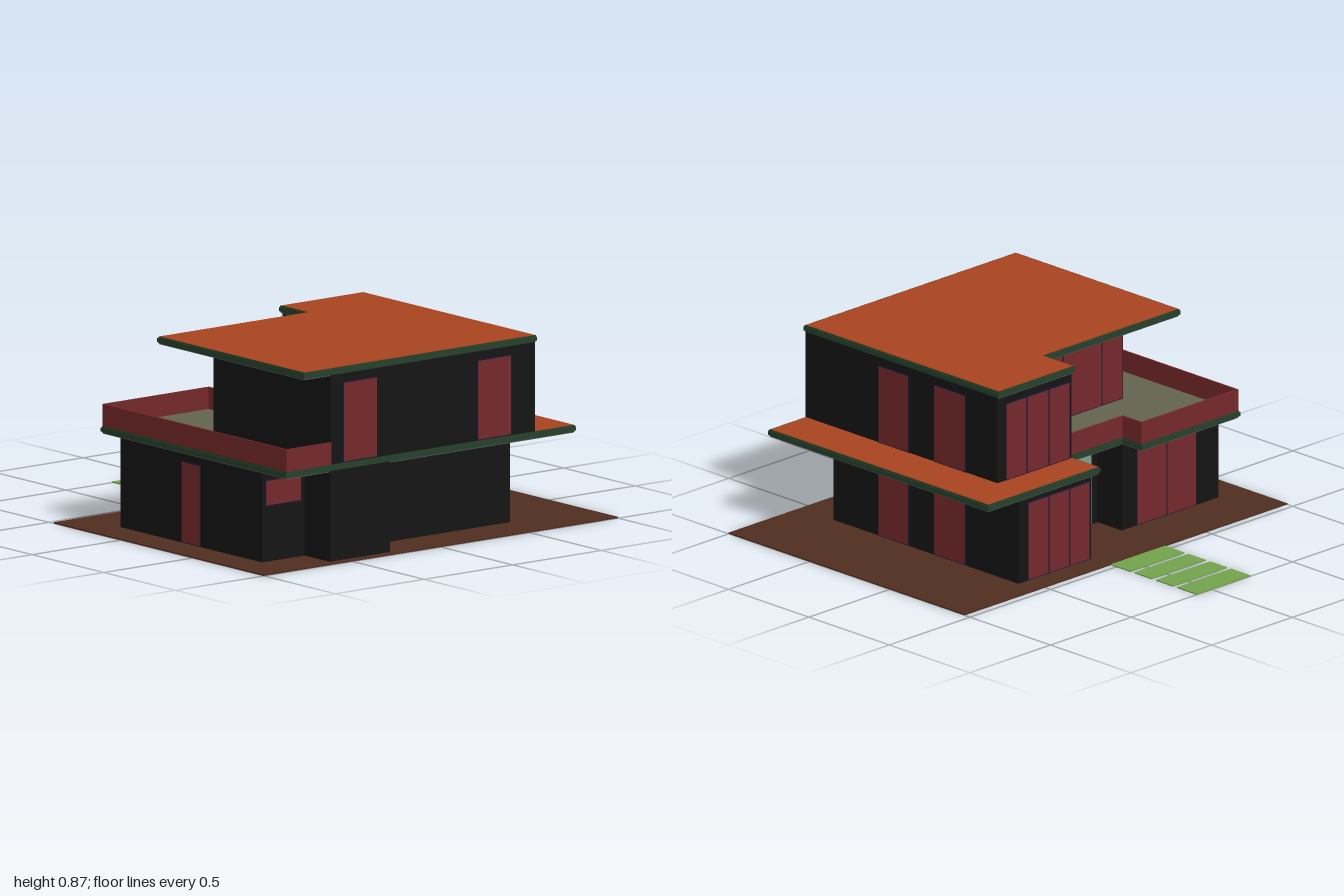
import * as THREE from 'three';

const COLORS = {
  wall: 0x141414, glass: 0x74282b, frame: 0x14183c, trim: 0x24402a, roof: 0xa8431f,
  terrace: 0x63634f, soffit: 0x555555, ground: 0x4e2d20, path: 0x72a34c,
  floor: 0x4a4a40, wetFloor: 0x1e1e82, door: 0x7d9f90,
};
const mats = {};
for (const k in COLORS) mats[k] = new THREE.MeshStandardMaterial({ color: COLORS[k] });

// Plan outlines as [x, z] corners
const LOWER = [[-0.84, -0.2], [-0.24, -0.2], [-0.24, -0.05], [0.11, -0.05], [0.11, -0.36], [0.56, -0.36],
  [0.56, 0.79], [-0.26, 0.79], [-0.26, 0.965], [-0.6, 0.965], [-0.6, 0.79], [-0.84, 0.79]];
const UPPER = [[-0.595, 0.148], [0.1, 0.148], [0.1, -0.23], [0.56, -0.23], [0.56, 0.963], [-0.595, 0.963]];
const DECK = [[-0.85, -0.325], [-0.24, -0.325], [-0.24, -0.205], [0.09, -0.205], [0.09, -0.4],
  [0.787, -0.4], [0.787, 0.97], [-0.85, 0.97]];
const TOP = [[-0.75, -0.055], [0.09, -0.055], [0.09, -0.243], [0.567, -0.243], [0.567, 0.97], [-0.75, 0.97]];
// Ground floor without the wet room in its corner
const FLOOR = [...LOWER.slice(0, 9), [-0.6, 0.965], [-0.6, 0.37], [-0.84, 0.37]];

// Moves each corner of a right-angled outline inwards by d
function inset(pts, d) {
  const n = pts.length;
  const s = Math.sign(THREE.ShapeUtils.area(pts.map(([x, y]) => ({ x, y }))));
  const normal = (a, b) => {
    const l = Math.hypot(b[0] - a[0], b[1] - a[1]);
    return [-s * (b[1] - a[1]) / l, s * (b[0] - a[0]) / l];
  };
  return pts.map((p, i) => {
    const a = normal(pts[(i + n - 1) % n], p), b = normal(p, pts[(i + 1) % n]);
    return [p[0] + d * (a[0] + b[0]), p[1] + d * (a[1] + b[1])];
  });
}

export function createModel() {
  const house = new THREE.Group();
  house.name = 'house';

  function add(geometry, mat, name, parent = house) {
    const mesh = new THREE.Mesh(geometry, mats[mat]);
    mesh.name = name;
    parent.add(mesh);
    return mesh;
  }
  // Upright prism over a plan outline
  function prism(pts, y0, y1, mat, name, hole) {
    const toV = (p) => new THREE.Vector2(p[0], -p[1]);
    const shape = new THREE.Shape(pts.map(toV));
    if (hole) shape.holes.push(new THREE.Path(hole.map(toV)));
    const g = new THREE.ExtrudeGeometry(shape, { depth: y1 - y0, bevelEnabled: false });
    g.rotateX(-Math.PI / 2).translate(0, y0, 0);
    return add(g, mat, name);
  }
  function box(x0, x1, y0, y1, z0, z1, mat, name, parent) {
    const g = new THREE.BoxGeometry(x1 - x0, y1 - y0, z1 - z0);
    g.translate((x0 + x1) / 2, (y0 + y1) / 2, (z0 + z1) / 2);
    return add(g, mat, name, parent);
  }
  const rect = (x0, x1, z0, z1) => [[x0, z0], [x1, z0], [x1, z1], [x0, z1]];

  // Ground, floors and path slabs
  prism(rect(-1, 1, -0.467, 1), 0, 0.006, 'ground', 'ground', LOWER);
  prism(FLOOR, 0, 0.006, 'floor', 'groundFloor');
  prism(rect(-0.84, -0.6, 0.37, 0.79), 0, 0.006, 'wetFloor', 'wetRoomFloor');
  for (const [z0, z1] of [[-1, -0.88], [-0.855, -0.75], [-0.722, -0.614], [-0.59, -0.468]])
    box(-0.24, 0.095, 0, 0.005, z0, z1, 'path', 'pathSlab');

  // Storeys
  prism(LOWER, 0.006, 0.412, 'wall', 'lowerWalls');
  prism(UPPER, 0.438, 0.842, 'wall', 'upperWalls');

  // Slabs: grey soffit and a two-step fascia
  function slab(outline, y, name) {
    prism(inset(outline, 0.008), y, y + 0.006, 'soffit', name + 'Soffit');
    prism(inset(outline, 0.005), y + 0.004, y + 0.01, 'trim', name + 'LowerFascia');
    prism(outline, y + 0.01, y + 0.028, 'trim', name + 'Fascia');
    prism(inset(outline, 0.004), y + 0.028, y + 0.034, 'trim', name + 'UpperFascia');
  }
  slab(DECK, 0.406, 'deck');
  slab(TOP, 0.837, 'topRoof');
  prism(inset(TOP, 0.009), 0.865, 0.873, 'roof', 'topRoofCover');
  prism(inset(rect(0.09, 0.787, -0.4, 0.97), 0.009), 0.434, 0.442, 'roof', 'lowerRoofCover');
  prism([[-0.84, -0.315], [-0.25, -0.315], [-0.25, -0.195], [0.09, -0.195], [0.09, 0.2], [-0.58, 0.2],
    [-0.58, 0.96], [-0.84, 0.96]], 0.434, 0.442, 'terrace', 'terraceFloor');

  // Terrace parapet, following the deck edge
  const rail = [[-0.595, 0.961], [-0.841, 0.961], [-0.841, -0.314], [-0.249, -0.314], [-0.249, -0.196], [0.1, -0.196]];
  for (let i = 0; i < rail.length - 1; i++) {
    const [a, b] = [rail[i], rail[i + 1]], t = 0.004;
    box(Math.min(a[0], b[0]) - t, Math.max(a[0], b[0]) + t, 0.438, 0.54,
      Math.min(a[1], b[1]) - t, Math.max(a[1], b[1]) + t, 'glass', 'parapet');
  }

  // Framed pane on a wall: axis is the wall's normal, at its position, side its direction
  function pane(axis, at, side, u0, u1, y0, y1, mat = 'glass', name = 'window') {
    const group = new THREE.Group();
    group.name = name;
    house.add(group);
    const layer = (e, d, m, part) => {
      const lo = Math.min(at - 0.01 * side, at + d * side), hi = Math.max(at - 0.01 * side, at + d * side);
      if (axis === 'z') box(u0 + e, u1 - e, y0 + e, y1 - e, lo, hi, m, part, group);
      else box(lo, hi, y0 + e, y1 - e, u0 + e, u1 - e, m, part, group);
    };
    layer(0, 0.003, 'frame', name + 'Frame');
    layer(0.004, 0.005, mat, name + 'Panel');
  }
  function panes(at, edges, y0, y1) {
    for (let i = 0; i < edges.length - 1; i++) pane('z', at, -1, edges[i], edges[i + 1], y0, y1);
  }
  const low = [0.007, 0.372], high = [0.442, 0.802];

  // Front
  pane('z', 0.79, 1, -0.825, -0.62, 0.255, 0.372);
  pane('z', 0.963, 1, -0.525, -0.333, ...high);
  pane('z', 0.963, 1, 0.232, 0.425, ...high);
  // Sides
  for (const [z0, z1] of [[0.318, 0.51], [-0.032, 0.163]])
    for (const y of [low, high]) pane('x', 0.56, 1, z0, z1, ...y);
  pane('x', -0.84, -1, 0.23, 0.36, ...low);
  // Back
  panes(-0.36, [0.12, 0.247, 0.374, 0.505], ...low);
  panes(-0.2, [-0.7, -0.515, -0.33], ...low);
  panes(-0.23, [0.115, 0.245, 0.38, 0.51], ...high);
  panes(0.148, [-0.59, -0.46, -0.22, -0.02], ...high);
  // Entrance
  pane('z', -0.05, -1, -0.025, 0.095, ...low, 'glass', 'sideLight');
  pane('z', -0.05, -1, -0.2, -0.03, ...low, 'door', 'frontDoor');

  return house;
}
